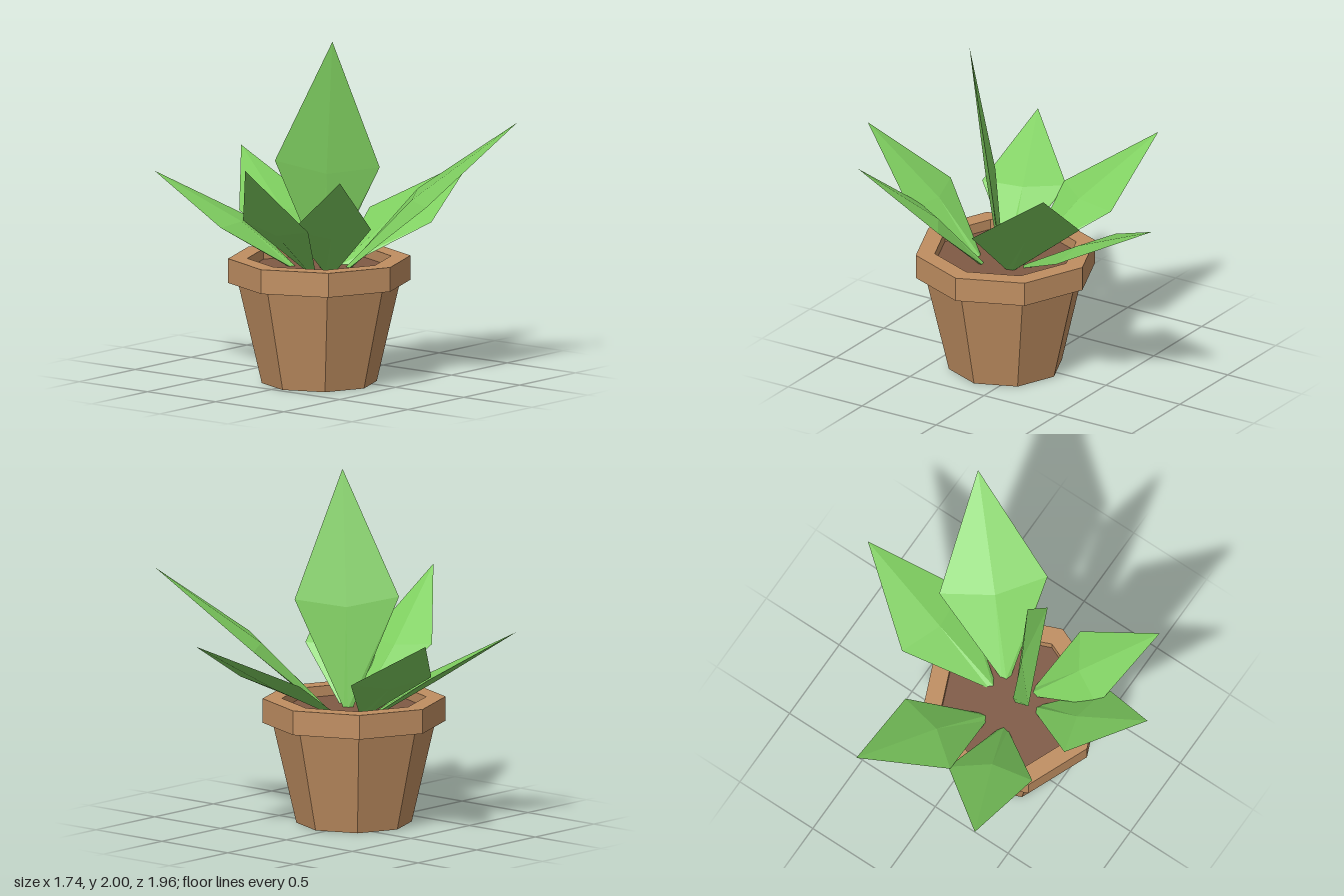
import * as THREE from 'three';

const terracotta = new THREE.MeshStandardMaterial({ color: 0xbf8e61, flatShading: true });
terracotta.name = 'terracotta';
const soilBrown = new THREE.MeshStandardMaterial({ color: 0x805a45, flatShading: true });
soilBrown.name = 'soil brown';
const leafGreen = new THREE.MeshStandardMaterial({ color: 0x7fcf60, flatShading: true });
leafGreen.name = 'leaf green';

const vec = (p) => new THREE.Vector3(...p);

// Faceted leaf: narrow base, diamond-shaped middle with a ridge on both faces, pointed tip
function leafGeometry(base, left, right, tip) {
  const [b, l, r, t] = [base, left, right, tip].map(vec);
  const side = r.clone().sub(l).normalize();
  const axis = t.clone().sub(b).normalize();
  const normal = side.clone().cross(axis).normalize();
  const centre = l.clone().add(r).multiplyScalar(0.5).addScaledVector(axis, -0.05);
  const foot = [
    b.clone().addScaledVector(side, -0.025),
    b.clone().addScaledVector(normal, 0.012),
    b.clone().addScaledVector(side, 0.025),
    b.clone().addScaledVector(normal, -0.012),
  ];
  const middle = [
    l,
    centre.clone().addScaledVector(normal, 0.03),
    r,
    centre.clone().addScaledVector(normal, -0.03),
  ];
  const points = [];
  for (let i = 0; i < 4; i++) {
    const j = (i + 1) % 4;
    points.push(foot[i], foot[j], middle[j], foot[i], middle[j], middle[i]);
    points.push(middle[i], middle[j], t);
  }
  points.push(foot[0], foot[2], foot[1], foot[0], foot[3], foot[2]);
  const geometry = new THREE.BufferGeometry().setFromPoints(points);
  geometry.computeVertexNormals();
  return geometry;
}

export function createModel() {
  const model = new THREE.Group();
  model.name = 'pottedPlant';

  // Eight-sided pot with a thick rim, open at the top
  const profile = [
    [0, 0], [0.328, 0], [0.463, 0.58], [0.52, 0.58],
    [0.52, 0.72], [0.41, 0.72], [0.41, 0.65],
  ].map(([x, y]) => new THREE.Vector2(x, y));
  const potGeometry = new THREE.LatheGeometry(profile, 8).toNonIndexed();
  potGeometry.computeVertexNormals();
  const pot = new THREE.Mesh(potGeometry, terracotta);
  pot.name = 'pot';
  pot.position.set(0.057, 0, 0.142);
  model.add(pot);

  // Soil set just below the rim
  const soil = new THREE.Mesh(new THREE.CircleGeometry(0.41, 8), soilBrown);
  soil.name = 'soil';
  soil.rotation.x = -Math.PI / 2;
  soil.position.set(0.057, 0.66, 0.142);
  model.add(soil);

  // Leaves: base, two side corners, tip
  const leaves = {
    centreLeaf: [[0.1, 0.65, 0.14], [-0.09, 1.29, 0.36], [0.4, 1.26, 0.02], [0.25, 2, 0.26]],
    backLeaf: [[0.09, 0.65, -0.01], [0.41, 0.88, -0.43], [-0.1, 0.9, -0.5], [0.26, 1.155, -0.98]],
    backLeftLeaf: [[0.17, 0.65, 0.03], [0.69, 1.05, -0.04], [0.26, 1.05, -0.49], [0.87, 1.48, -0.64]],
    backRightLeaf: [[-0.09, 0.65, 0.06], [-0.33, 0.91, -0.32], [-0.54, 0.92, 0.13], [-0.87, 1.2, -0.29]],
    frontRightLeaf: [[-0.09, 0.65, 0.19], [-0.53, 0.9, 0.11], [-0.33, 0.9, 0.55], [-0.85, 1.165, 0.51]],
    frontLeaf: [[0.12, 0.65, 0.28], [-0.11, 0.98, 0.62], [0.35, 0.96, 0.6], [0.2, 1.35, 0.98]],
    frontLeftLeaf: [[0.19, 0.65, 0.21], [0.235, 0.955, 0.61], [0.55, 0.955, 0.28], [0.69, 1.3, 0.73]],
  };
  for (const [name, corners] of Object.entries(leaves)) {
    const leaf = new THREE.Mesh(leafGeometry(...corners), leafGreen);
    leaf.name = name;
    model.add(leaf);
  }
  return model;
}
